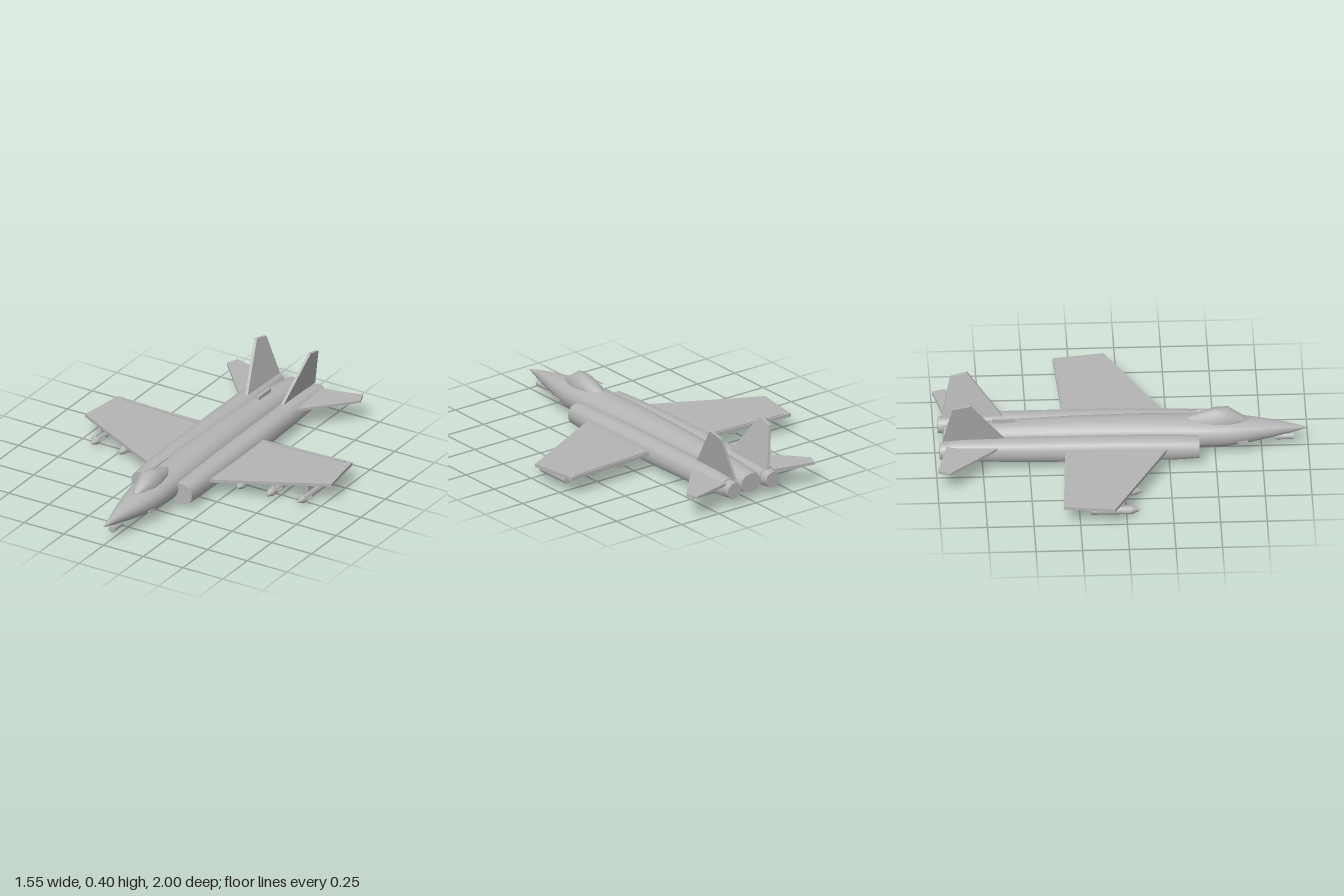
import * as THREE from 'three';

const grey = new THREE.MeshStandardMaterial({ color: 0xb4b4b4 });
grey.name = 'airframeGrey';

// Skin over rounded sections [z, centreX, centreY, halfWidth, riseAbove, dropBelow], listed nose to tail
function loft(sections, sides, power = 1) {
  const pos = [], index = [];
  const bend = (v) => Math.sign(v) * Math.abs(v) ** power;
  const ring = ([z, cx, cy, w, up, down]) => {
    const start = pos.length / 3;
    for (let j = 0; j < sides; j++) {
      const t = (j / sides) * Math.PI * 2;
      const s = bend(Math.sin(t));
      pos.push(cx + w * bend(Math.cos(t)), cy + s * (s > 0 ? up : down), z);
    }
    return start;
  };
  const starts = sections.map(ring);
  for (let i = 0; i < starts.length - 1; i++) {
    for (let j = 0; j < sides; j++) {
      const k = (j + 1) % sides;
      const a = starts[i] + j, b = starts[i] + k, c = starts[i + 1] + j, d = starts[i + 1] + k;
      index.push(a, c, b, b, c, d);
    }
  }
  // Flat end caps on their own vertices, for a crisp rim
  const first = ring(sections[0]), last = ring(sections[sections.length - 1]);
  for (let j = 1; j < sides - 1; j++) {
    index.push(first, first + j, first + j + 1, last, last + j + 1, last + j);
  }
  const g = new THREE.BufferGeometry();
  g.setAttribute('position', new THREE.Float32BufferAttribute(pos, 3));
  g.setIndex(index);
  g.computeVertexNormals();
  return g;
}

// Horizontal plate from [x, z] corners
function plate(points, y, thick, side) {
  const shape = new THREE.Shape(points.map(([x, z]) => new THREE.Vector2(x * side, -z)));
  return new THREE.ExtrudeGeometry(shape, { depth: thick, bevelEnabled: false })
    .rotateX(-Math.PI / 2).translate(0, y, 0);
}

// Upright fin from [z, y] corners, leaning outward as it rises
function fin(points, thick, baseX, lean, side) {
  const shape = new THREE.Shape(points.map(([z, y]) => new THREE.Vector2(z, y)));
  const g = new THREE.ExtrudeGeometry(shape, { depth: thick, bevelEnabled: false })
    .rotateY(-Math.PI / 2).translate(thick / 2, 0, 0);
  const p = g.attributes.position;
  for (let i = 0; i < p.count; i++) {
    p.setX(i, p.getX(i) + side * (baseX + (p.getY(i) - 0.16) * lean));
  }
  g.computeVertexNormals();
  return g;
}

const box = (w, h, d, x, y, z) => new THREE.BoxGeometry(w, h, d).translate(x, y, z);

// Cylinder along z between two ends
const tube = (rFront, rBack, zFront, zBack, x, y, sides = 16) =>
  new THREE.CylinderGeometry(rFront, rBack, zFront - zBack, sides)
    .rotateX(Math.PI / 2).translate(x, y, (zFront + zBack) / 2);

export function createModel() {
  const model = new THREE.Group();
  model.name = 'jetAircraft';
  const add = (name, geometry, parent = model) => {
    const mesh = new THREE.Mesh(geometry, grey);
    mesh.name = name;
    parent.add(mesh);
  };

  // Central body with pointed nose
  add('fuselage', loft([
    [1.0, 0, 0.11, 0.002, 0.002, 0.002],
    [0.92, 0, 0.11, 0.022, 0.022, 0.022],
    [0.8, 0, 0.11, 0.054, 0.045, 0.046],
    [0.68, 0, 0.11, 0.083, 0.061, 0.066],
    [0.56, 0, 0.11, 0.103, 0.073, 0.083],
    [0.4, 0, 0.11, 0.106, 0.08, 0.086],
    [0.1, 0, 0.11, 0.102, 0.088, 0.088],
    [-0.2, 0, 0.11, 0.096, 0.087, 0.086],
    [-0.6, 0, 0.11, 0.084, 0.076, 0.078],
    [-0.8, 0, 0.105, 0.076, 0.068, 0.067],
    [-0.92, 0, 0.1, 0.07, 0.06, 0.056],
    [-0.955, 0, 0.1, 0.065, 0.054, 0.05],
  ], 20, 0.92));

  // Cockpit cover, a faceted bubble
  add('canopy', loft([
    [0.68, 0, 0.165, 0.012, 0.008, 0.02],
    [0.65, 0, 0.165, 0.032, 0.025, 0.02],
    [0.57, 0, 0.165, 0.058, 0.08, 0.02],
    [0.5, 0, 0.168, 0.06, 0.073, 0.02],
    [0.42, 0, 0.17, 0.05, 0.047, 0.02],
    [0.35, 0, 0.17, 0.015, 0.02, 0.02],
  ], 12, 0.9));
  add('canopyProbe', box(0.005, 0.005, 0.2, 0, 0.24, 0.455));
  add('spineAntenna', box(0.015, 0.022, 0.12, 0, 0.194, -0.63));

  // Sensor under the nose
  add('noseSensor', tube(0.019, 0.019, 0.92, 0.83, 0, 0.059));
  add('noseSensorMount', box(0.014, 0.03, 0.06, 0, 0.078, 0.87));

  for (const side of [1, -1]) {
    const half = new THREE.Group();
    half.name = side > 0 ? 'leftSide' : 'rightSide';
    model.add(half);

    // Engine housing with intake face and nozzle
    add('engineNacelle', loft([
      [0.41, side * 0.127, 0.086, 0.064, 0.058, 0.06],
      [0.3, side * 0.13, 0.086, 0.067, 0.064, 0.063],
      [0.0, side * 0.131, 0.088, 0.069, 0.07, 0.067],
      [-0.35, side * 0.131, 0.09, 0.068, 0.07, 0.065],
      [-0.65, side * 0.13, 0.092, 0.065, 0.068, 0.06],
      [-0.85, side * 0.13, 0.095, 0.057, 0.062, 0.055],
      [-0.93, side * 0.13, 0.096, 0.051, 0.054, 0.052],
    ], 16, 0.88), half);
    add('engineNozzle', tube(0.051, 0.045, -0.91, -0.98, side * 0.13, 0.095, 16), half);

    // Main wing with a thin trailing strip
    add('wing', plate([[0.1, 0.283], [0.775, -0.065], [0.737, -0.34], [0.1, -0.305]], 0.094, 0.018, side), half);
    add('wingTrailingStrip', plate([[0.15, -0.285], [0.7, -0.316], [0.7, -0.33], [0.15, -0.3]], 0.11, 0.007, side), half);

    // Tail surfaces
    add('tailplane', plate([[0.14, -0.63], [0.2, -0.69], [0.42, -0.935], [0.395, -1.0], [0.18, -0.95], [0.14, -0.94]], 0.121, 0.015, side), half);
    add('tailFin', fin([[-0.63, 0.15], [-0.82, 0.4], [-0.91, 0.38], [-0.962, 0.15]], 0.016, 0.113, 0.23, side), half);

    // Small probe on the cheek of the nose
    add('cheekProbe', box(0.012, 0.01, 0.06, side * 0.083, 0.078, 0.645), half);

    // Stores hung beneath the wing
    [[0.285, 0.1], [0.465, 0.09], [0.65, 0.07]].forEach(([x, nose]) => {
      const store = new THREE.Group();
      store.name = 'wingStore';
      half.add(store);
      const sx = side * x;
      add('storeBody', tube(0.023, 0.023, nose - 0.04, -0.19, sx, 0.028, 12), store);
      add('storeNose', tube(0.007, 0.023, nose, nose - 0.04, sx, 0.028, 12), store);
      add('storePylon', box(0.01, 0.055, 0.11, sx, 0.07, -0.075), store);
      add('storeCrossFins', box(0.062, 0.004, 0.05, sx, 0.03, 0.0), store);
      add('storeKeel', box(0.004, 0.056, 0.05, sx, 0.028, 0.0), store);
    });
  }
  return model;
}
